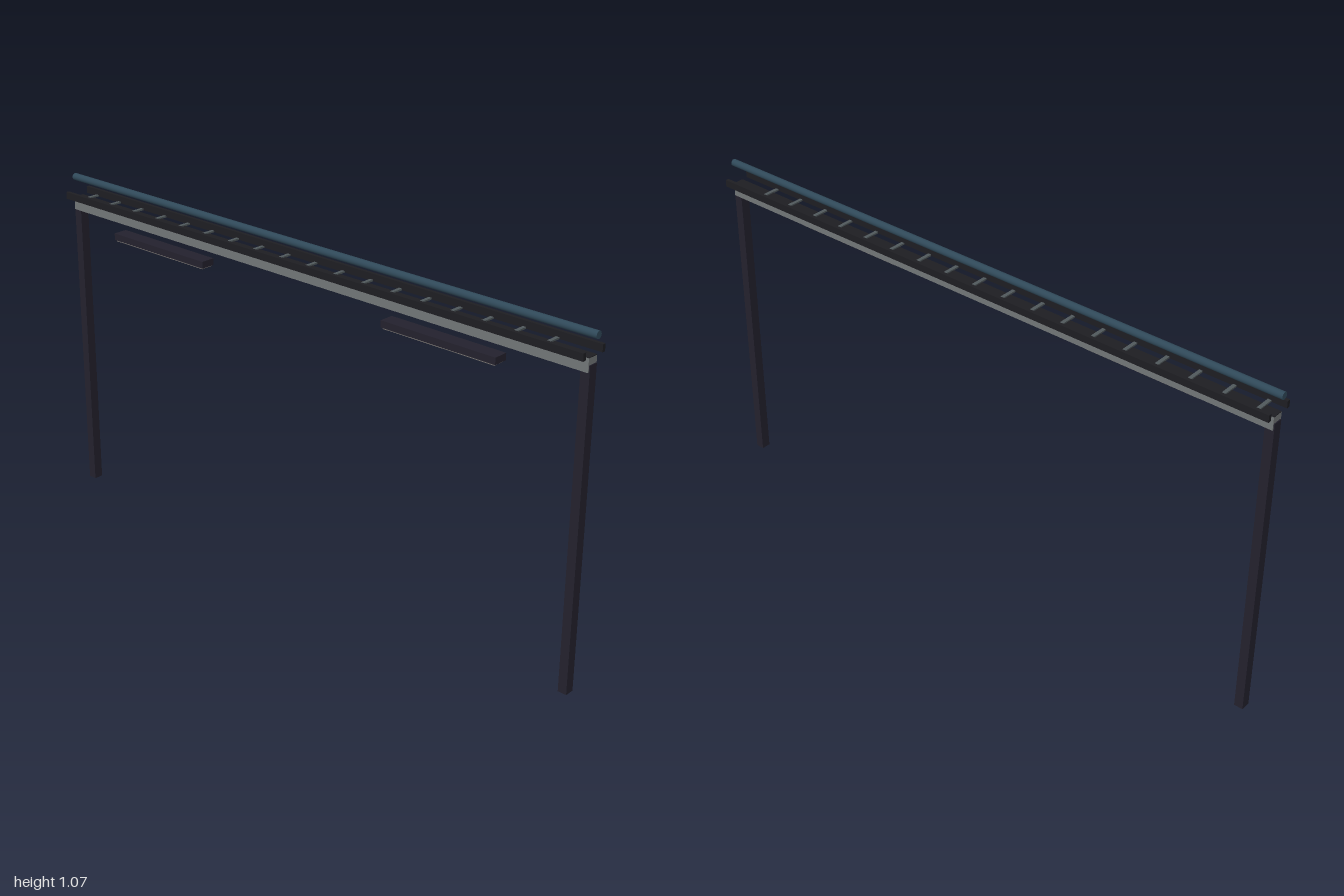
import * as THREE from 'three';

const mat = (name, color) => {
  const m = new THREE.MeshStandardMaterial({ color });
  m.name = name;
  return m;
};

export function createModel() {
  const model = new THREE.Group();
  model.name = 'overheadGantry';

  const postDark = mat('post dark', 0x23212d);
  const railBlack = mat('rail black', 0x1d1d22);
  const beamGrey = mat('beam grey', 0x717576);
  const tieGrey = mat('tie grey', 0x50585b);
  const pipeBlue = mat('pipe blue', 0x2f4858);
  const diffuser = mat('lamp diffuser', 0x77736f);

  const zMid = -0.0105; // centre line of the frame

  const box = (name, material, [w, h, d], [x, y, z], parent = model) => {
    const mesh = new THREE.Mesh(new THREE.BoxGeometry(w, h, d), material);
    mesh.name = name;
    mesh.position.set(x, y, z);
    parent.add(mesh);
    return mesh;
  };

  // Main beam with a dark top strip
  box('beam', beamGrey, [1.974, 0.04, 0.036], [0, 0.975, zMid]);
  box('beamTopStrip', railBlack, [1.974, 0.002, 0.034], [0, 0.996, zMid]);

  // Posts and lamps, mirrored left and right
  for (const s of [-1, 1]) {
    box(s > 0 ? 'leftPost' : 'rightPost', postDark, [0.028, 0.975, 0.03], [s * 0.976, 0.4875, zMid]);

    const lamp = new THREE.Group();
    lamp.name = s > 0 ? 'leftLamp' : 'rightLamp';
    lamp.position.set(s * 0.543, 0, 0.0375);
    box('lampHousing', postDark, [0.39, 0.021, 0.046], [0, 0.9325, 0], lamp);
    box('lampDiffuser', diffuser, [0.38, 0.005, 0.039], [0, 0.9205, 0], lamp);
    model.add(lamp);
  }

  // Side rails of the cable tray
  for (const s of [-1, 1]) {
    box(s > 0 ? 'frontRail' : 'backRail', railBlack, [1.98, 0.022, 0.011], [0, 1.007, zMid + s * 0.0425]);
  }

  // Cross ties between the rails
  for (let i = 0; i < 18; i++) {
    box('crossTie', tieGrey, [0.011, 0.005, 0.085], [-0.938 + i * 0.1053, 0.9985, zMid]);
  }

  // Round pipe above the tray
  const pipe = new THREE.Mesh(new THREE.CylinderGeometry(0.0113, 0.0113, 2, 16), pipeBlue);
  pipe.name = 'pipe';
  pipe.rotation.z = Math.PI / 2;
  pipe.position.set(0, 1.057, zMid);
  model.add(pipe);

  return model;
}
